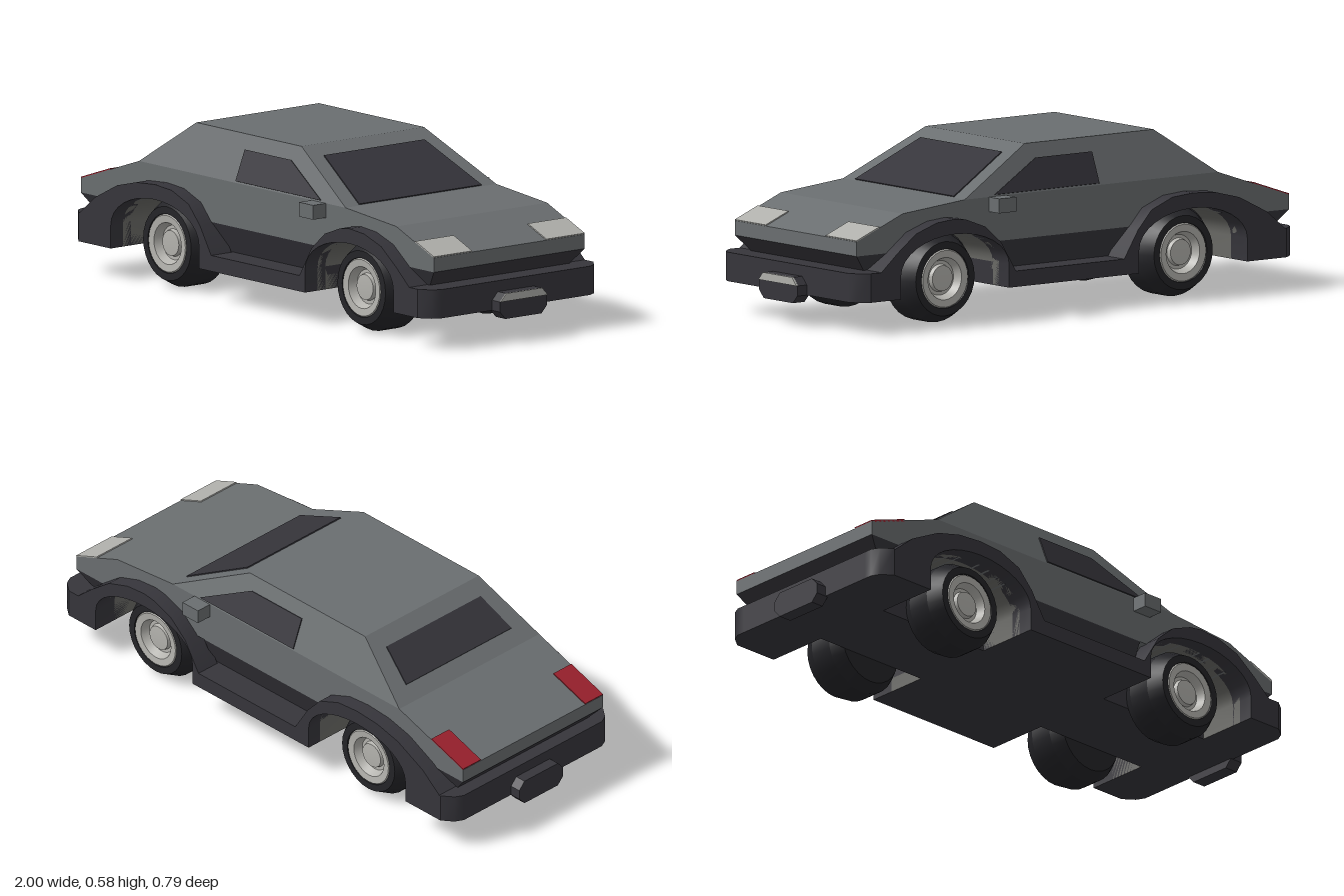
import * as THREE from 'three';
import { toCreasedNormals } from 'three/addons/utils/BufferGeometryUtils.js';
import { ConvexGeometry } from 'three/addons/geometries/ConvexGeometry.js';

const paint = (name, color, side = THREE.FrontSide) => {
  const m = new THREE.MeshStandardMaterial({ color, side });
  m.name = name;
  return m;
};
const V = (x, y, z) => new THREE.Vector3(x, y, z);

const REAR = -0.5, FRONT = 0.535; // axle positions
const WELL = 0.235; // half width of a wheel opening

// Wheel opening curve, from front to back, between two angles
function archPoints(cx, a0 = 0, a1 = Math.PI, n = 16) {
  return Array.from({ length: n + 1 }, (_, i) => {
    const a = a0 + ((a1 - a0) * i) / n;
    return [cx + WELL * Math.cos(a), 0.19 + 0.125 * Math.sin(a)];
  });
}

function extrude(points, depth, z, steps = 1) {
  const shape = new THREE.Shape(points.map(([x, y]) => new THREE.Vector2(x, y)));
  return new THREE.ExtrudeGeometry(shape, { depth, steps, bevelEnabled: false }).translate(0, 0, z);
}

// Block whose bottom rectangle may differ from its top: [x0, x1, halfWidth]
function taper(top, yTop, bottom, yBottom) {
  const pts = [];
  for (const [[x0, x1, w], y] of [[top, yTop], [bottom, yBottom]])
    for (const s of [1, -1]) pts.push(V(x0, y, s * w), V(x1, y, s * w));
  return new ConvexGeometry(pts);
}

// Thin panel laid on a surface, thickened along its outward direction
function plate(corners, outward) {
  const n = outward.clone().normalize();
  return new ConvexGeometry(corners.flatMap((p) => [
    p.clone().addScaledVector(n, 0.004), p.clone().addScaledVector(n, -0.004)]));
}

function lathe(profile, side) {
  const g = new THREE.LatheGeometry(profile.map(([r, y]) => new THREE.Vector2(r, y)), 28);
  return toCreasedNormals(g.rotateX((side * Math.PI) / 2), 0.4);
}

export function createModel() {
  const car = new THREE.Group();
  car.name = 'car';
  const grey = paint('body grey', 0x6a6e70);
  const liner = paint('wheel well grey', 0x6a6a66, THREE.DoubleSide);
  const dark = paint('dark trim', 0x36353b);
  const glass = paint('window glass', 0x35343a);
  const rubber = paint('tyre black', 0x242428);
  const metal = paint('rim silver', 0xb4b3ae);
  const lamp = paint('headlight white', 0xb0b0ac);
  const red = paint('tail light red', 0x9a202c);
  const add = (name, geometry, material, parent = car) => {
    const mesh = new THREE.Mesh(geometry, material);
    mesh.name = name;
    parent.add(mesh);
    return mesh;
  };

  // Main body with wheel openings bitten out of its lower edge
  const a = Math.asin(0.6);
  add('body', extrude([
    [-0.96, 0.265], ...archPoints(REAR, Math.PI - a, a), ...archPoints(FRONT, Math.PI - a, a),
    [0.92, 0.265], [0.92, 0.315], [0.72, 0.395], [0.45, 0.42], [-0.65, 0.42], [-0.96, 0.315],
  ], 0.67, -0.335), grey);
  add('cabin', taper([-0.42, 0.14, 0.272], 0.58, [-0.65, 0.45, 0.335], 0.42), grey);

  // Dark tucked-under lower body and floor
  add('rearValance', taper([-0.96, -0.735, 0.335], 0.265, [-0.91, -0.735, 0.31], 0.21), dark);
  add('frontValance', taper([0.77, 0.92, 0.335], 0.265, [0.77, 0.87, 0.31], 0.21), dark);
  add('sills', taper([-0.265, 0.3, 0.335], 0.265, [-0.265, 0.3, 0.29], 0.16), dark);
  add('floor', taper([-0.8, 0.8, 0.155], 0.27, [-0.8, 0.8, 0.155], 0.11), dark);
  for (const [name, x0, x1, y] of [['rearBumper', -0.96, -0.735, 0.21],
    ['frontBumper', 0.77, 0.955, 0.21], ['middleFloor', -0.265, 0.3, 0.165]])
    add(name, taper([x0, x1, 0.302], y, [x0, x1, 0.302], 0.11), dark);

  // Side skirts with flared arches, rounded in plan at the bumper corners
  const rearFlare = [[-0.4, 0.21], [-0.32, 0.275], [-0.2, 0.335], [-0.1, 0.36], [0, 0.367],
    [0.09, 0.36], [0.18, 0.325], [0.24, 0.26], [0.3, 0.165]];
  const frontFlare = [[-0.265, 0.165], [-0.2, 0.27], [-0.13, 0.33], [-0.05, 0.36], [0, 0.367],
    [0.08, 0.36], [0.17, 0.33], [0.25, 0.27], [0.32, 0.21]];
  const skirt = [
    [-0.96, 0.11], [-0.96, 0.21],
    ...rearFlare.map(([x, y]) => [x + REAR, y]), ...frontFlare.map(([x, y]) => [x + FRONT, y]),
    [0.955, 0.21], [0.955, 0.11],
    [FRONT + WELL, 0.11], ...archPoints(FRONT), [FRONT - WELL, 0.11],
    [REAR + WELL, 0.11], ...archPoints(REAR), [REAR - WELL, 0.11],
  ];

  for (const s of [1, -1]) {
    const side = s > 0 ? 'left' : 'right'; // +z and -z flanks
    const g = extrude(skirt, 0.09, s > 0 ? 0.3 : -0.39, 3);
    const p = g.attributes.position;
    for (let i = 0; i < p.count; i++) {
      const z = Math.abs(p.getZ(i));
      const inset = z > 0.38 ? 0.055 : z > 0.35 ? 0.015 : 0;
      p.setX(i, THREE.MathUtils.clamp(p.getX(i), -0.96 + inset, 0.955 - inset));
    }
    add(side + 'Skirt', toCreasedNormals(g, 0.6), dark);

    // Side window, wing mirror and lamps
    add(side + 'SideWindow', plate([V(-0.135, 0.53, s * 0.2917), V(0.11, 0.53, s * 0.2917),
      V(0.32, 0.425, s * 0.333), V(-0.135, 0.425, s * 0.333)], V(0, 0.063, s * 0.16)), glass);
    add(side + 'Mirror', new THREE.BoxGeometry(0.075, 0.05, 0.065)
      .translate(0.308, 0.395, s * 0.36), grey);
    add(side + 'Headlight', plate([V(0.82, 0.355, s * 0.165), V(0.82, 0.355, s * 0.335),
      V(0.919, 0.3154, s * 0.165), V(0.919, 0.3154, s * 0.335)], V(0.08, 0.2, 0)), lamp);
    add(side + 'TailLight', plate([V(-0.805, 0.3675, s * 0.25), V(-0.805, 0.3675, s * 0.335),
      V(-0.959, 0.3153, s * 0.25), V(-0.959, 0.3153, s * 0.335)], V(-0.105, 0.31, 0)), red);

    for (const [end, cx] of [['Rear', REAR], ['Front', FRONT]]) {
      // Wheel well liner
      const edge = [[cx + WELL, 0.11], ...archPoints(cx), [cx - WELL, 0.11]];
      const pos = edge.flatMap(([x, y]) => [x, y, s * 0.155, x, y, s * 0.335]);
      const index = [];
      for (let i = 0; i < edge.length - 1; i++) {
        const k = i * 2;
        if (s > 0) index.push(k, k + 1, k + 2, k + 1, k + 3, k + 2);
        else index.push(k, k + 2, k + 1, k + 1, k + 2, k + 3);
      }
      const lg = new THREE.BufferGeometry();
      lg.setAttribute('position', new THREE.Float32BufferAttribute(pos, 3));
      lg.setIndex(index);
      lg.computeVertexNormals();
      add(side + end + 'WheelWell', lg, liner);

      // Wheel: chamfered tyre with a dished rim and hub
      const wheel = new THREE.Group();
      wheel.name = side + end + 'Wheel';
      wheel.position.set(cx, 0.155, s * 0.245);
      car.add(wheel);
      add('tyre', lathe([[0, -0.088], [0.13, -0.088], [0.155, -0.045], [0.155, 0.04],
        [0.128, 0.09], [0.103, 0.09], [0.1, 0.08]], s), rubber, wheel);
      add('rim', lathe([[0.103, 0.084], [0.098, 0.091], [0.073, 0.088], [0.06, 0.06],
        [0.048, 0.06], [0.044, 0.075], [0, 0.078]], s), metal, wheel);
    }
  }

  // Windscreen and rear window
  add('windscreen', plate([V(0.2, 0.549, 0.223), V(0.2, 0.549, -0.223),
    V(0.446, 0.422, 0.272), V(0.446, 0.422, -0.272)], V(0.16, 0.31, 0)), glass);
  add('rearWindow', plate([V(-0.475, 0.5417, 0.225), V(-0.475, 0.5417, -0.225),
    V(-0.598, 0.4562, 0.252), V(-0.598, 0.4562, -0.252)], V(-0.16, 0.23, 0)), glass);

  // Eight-sided bumper blocks at both ends, the front one with a pale panel
  const outline = [[0.105, 0.11], [0.105, 0.145], [0.08, 0.172], [-0.08, 0.172],
    [-0.105, 0.145], [-0.105, 0.11], [-0.08, 0.083], [0.08, 0.083]];
  for (const [name, x0, x1] of [['rearBumperBlock', -1, -0.95], ['frontBumperBlock', 0.945, 0.996]])
    add(name, new ConvexGeometry(outline.flatMap(([z, y]) => [V(x0, y, z), V(x1, y, z)])), dark);
  add('frontPanel', plate(outline.slice(1, 5).map(([z, y]) => V(0.996, y, z)), V(1, 0, 0)), lamp);

  return car;
}
